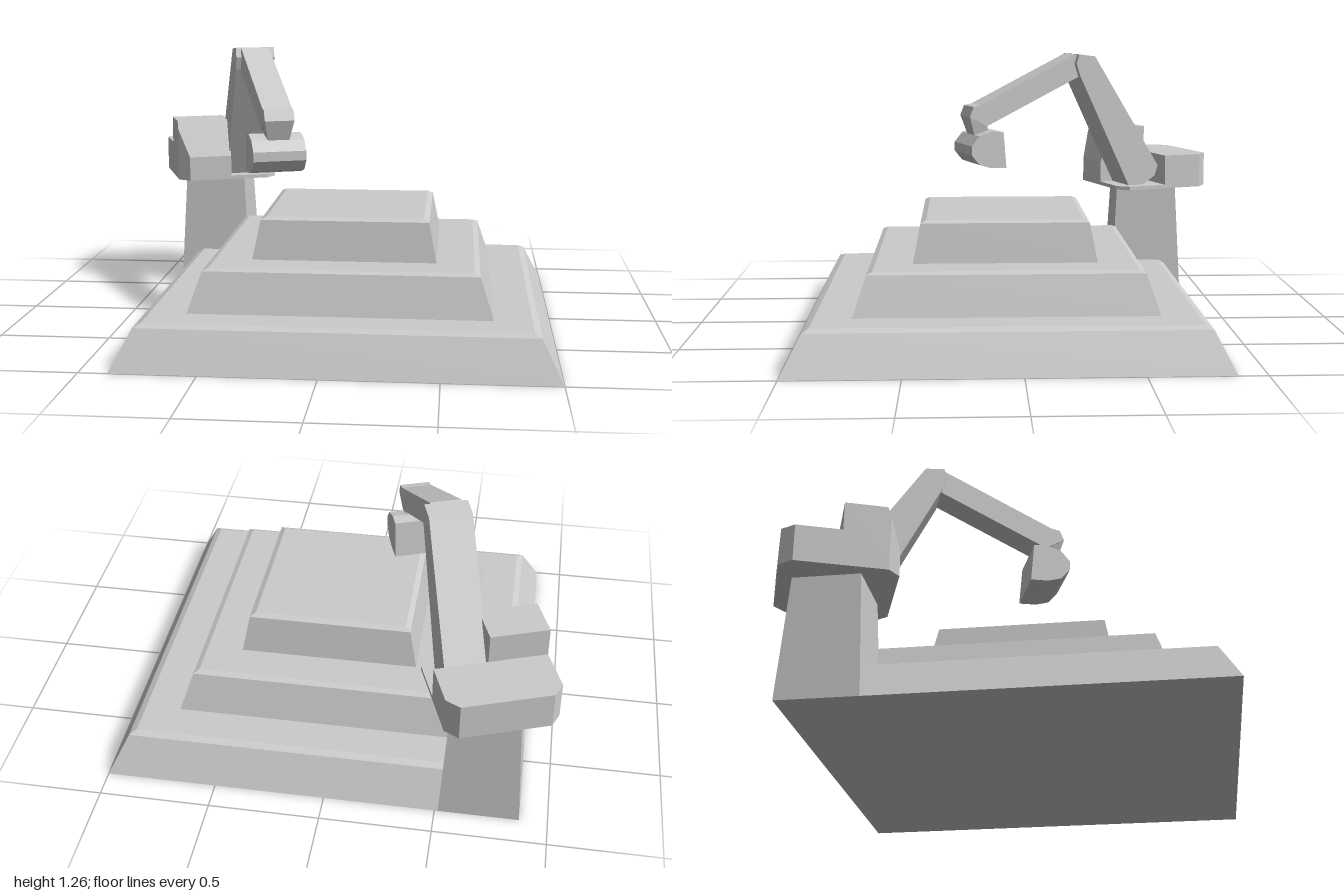
import * as THREE from 'three';
import { ConvexGeometry } from 'three/addons/geometries/ConvexGeometry.js';

const material = new THREE.MeshStandardMaterial({ color: 0xcccccc, flatShading: true });

function add(parent, name, geometry) {
  const mesh = new THREE.Mesh(geometry, material);
  mesh.name = name;
  parent.add(mesh);
  return mesh;
}

const toShape = (points) => new THREE.Shape(points.map(([a, b]) => new THREE.Vector2(a, b)));

// Square solid with sloping sides; rings are [half width, y] from bottom to top
function squareSolid(rings) {
  const points = rings.map(([half, y]) => new THREE.Vector2(half * Math.SQRT2, y));
  points.unshift(new THREE.Vector2(0, rings[0][1]));
  points.push(new THREE.Vector2(0, rings[rings.length - 1][1]));
  return new THREE.LatheGeometry(points, 4, Math.PI / 4);
}

// Side profile in (z, y), extruded across x from x0 to x1
function sideProfile(points, x0, x1) {
  const g = new THREE.ExtrudeGeometry(toShape(points), { depth: x1 - x0, bevelEnabled: false });
  return g.rotateY(-Math.PI / 2).translate(x1, 0, 0);
}

// Floor plan in (x, z), extruded from y0 up to y1
function floorPlan(points, y0, y1) {
  const g = new THREE.ExtrudeGeometry(toShape(points), { depth: y1 - y0, bevelEnabled: false });
  return g.rotateX(Math.PI / 2).translate(0, y1, 0);
}

const hull = (points) => new ConvexGeometry(points.map((p) => new THREE.Vector3(...p)));

export function createModel() {
  const model = new THREE.Group();
  model.name = 'robotArmOnPlatform';

  // Stepped base of three bevelled tiers
  const base = new THREE.Group();
  base.name = 'steppedBase';
  base.position.set(0.0625, 0, 0.0625);
  model.add(base);
  add(base, 'lowerTier', squareSolid([[0.9375, 0], [0.85, 0.172], [0.82, 0.186]]));
  add(base, 'middleTier', squareSolid([[0.66, 0.18], [0.6, 0.36], [0.575, 0.371]]));
  add(base, 'upperTier', squareSolid([[0.41, 0.365], [0.375, 0.545], [0.35, 0.557]]));

  // Tapered pedestal on the back corner
  const pedestal = add(model, 'pedestal', squareSolid([[0.18, 0], [0.15, 0.575]]));
  pedestal.position.set(-0.695, 0, -0.695);

  // Arm assembly, turned towards the middle of the base
  const arm = new THREE.Group();
  arm.name = 'arm';
  arm.position.set(-0.695, 0, -0.695);
  arm.rotation.y = THREE.MathUtils.degToRad(20);
  model.add(arm);

  // Turntable plate with cut corners, and the low housing at its back
  const w = 0.25, c = 0.2;
  add(arm, 'turntablePlate', floorPlan([
    [-c, -w], [c, -w], [w, -c], [w, c], [c, w], [-c, w], [-w, c], [-w, -c]], 0.57, 0.588));
  add(arm, 'rearHousing', floorPlan([
    [-c, -0.255], [c, -0.255], [w, -c], [w, 0], [-w, 0], [-w, -c]], 0.57, 0.738));

  // Tall side housing with a leaning front and a cut outer corner
  const inner = 0.012;
  add(arm, 'sideHousing', hull([
    [-w, 0.57, 0], [inner, 0.57, 0], [inner, 0.57, w], [-c, 0.57, w], [-w, 0.57, c],
    [inner, 0.69, w], [-c, 0.69, w], [-w, 0.83, c],
    [-w, 0.87, 0], [inner, 0.87, 0], [inner, 0.87, 0.185], [-w, 0.87, 0.185]]));

  // Upper arm rising to the elbow
  add(arm, 'upperArm', sideProfile([
    [0.178, 0.585], [0.105, 0.585], [0.031, 0.63], [0.014, 0.685], [0.374, 1.246],
    [0.46, 1.257], [0.475, 1.21], [0.455, 1.15]], 0.005, 0.195));

  // Forearm reaching down to the wrist
  add(arm, 'forearm', sideProfile([
    [0.43, 1.155], [0.42, 1.24], [0.47, 1.256], [0.97, 1.018], [1.01, 1.01],
    [1.03, 0.963], [0.945, 0.912]], 0.03, 0.168));

  // Narrowing wrist
  add(arm, 'wrist', hull([
    [0.03, 0.963, 0.94], [0.168, 0.963, 0.94], [0.168, 0.963, 1.03], [0.03, 0.963, 1.03],
    [0.05, 0.87, 0.93], [0.15, 0.87, 0.93], [0.15, 0.87, 1.0], [0.05, 0.87, 1.0]]));

  // Faceted head across the end of the arm
  add(arm, 'toolHead', sideProfile([
    [0.86, 0.711], [0.875, 0.888], [0.93, 0.894], [1.0, 0.872], [1.04, 0.824],
    [1.04, 0.78], [1.0, 0.732], [0.94, 0.714]], -0.027, 0.22));

  return model;
}
